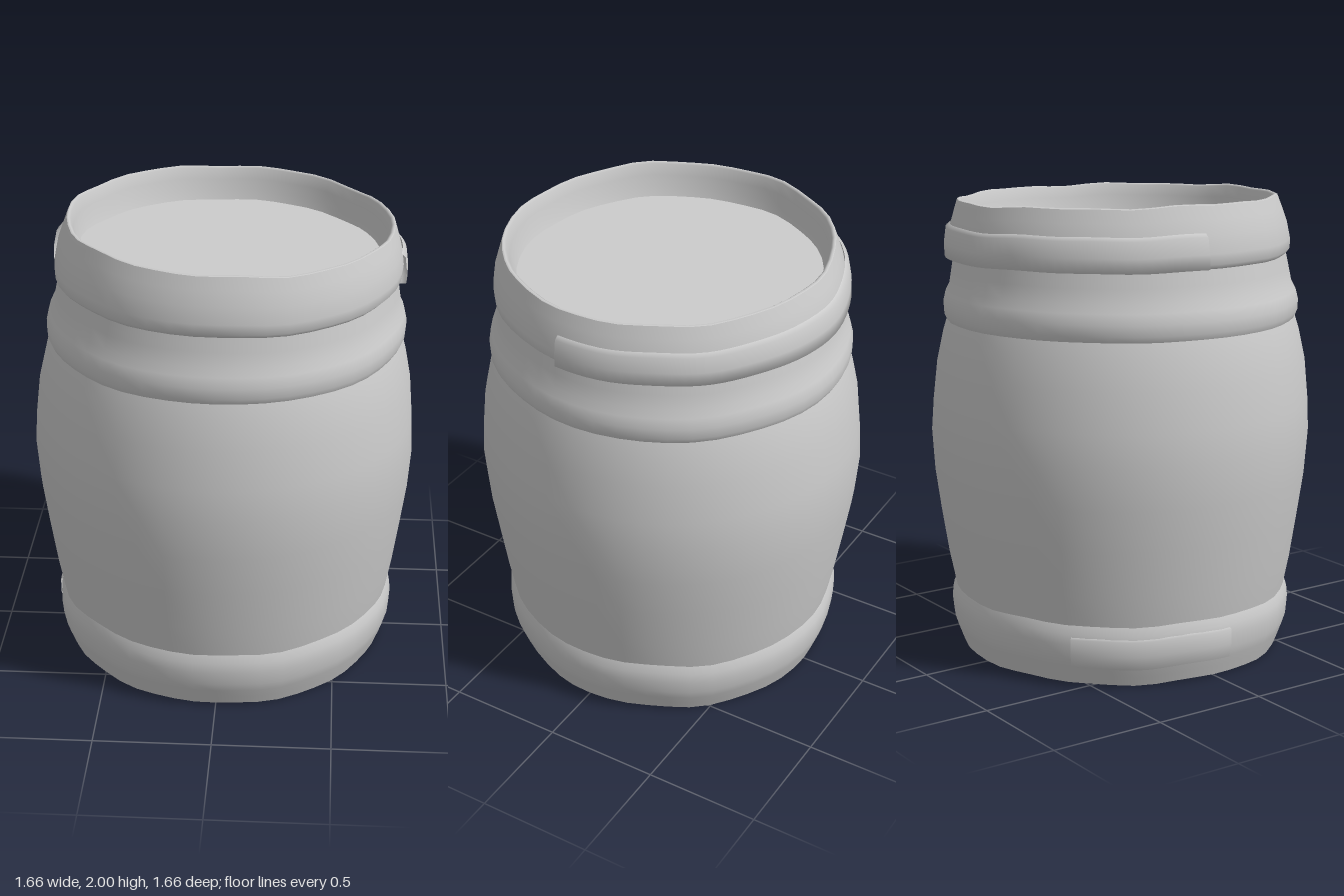
import * as THREE from 'three';

const SIDES = 48;
const material = new THREE.MeshStandardMaterial({ color: 0xcccccc, side: THREE.DoubleSide });

// Hand-worn unevenness: lean at the top, sagging rim, slightly wavy wall
function wear(geometry) {
  const p = geometry.attributes.position;
  for (let i = 0; i < p.count; i++) {
    const x = p.getX(i), y = p.getY(i), z = p.getZ(i);
    const a = Math.atan2(x, z);
    const top = Math.pow(y / 2, 6);
    const k = 1 + 0.004 * Math.sin(5 * a + 3 * y) + 0.003 * Math.sin(9 * a - 4 * y);
    const rough = 0.004 * Math.sin(7 * a + 1) + 0.003 * Math.sin(13 * a);
    p.setXYZ(i, x * k + 0.025 * top, y + top * (rough - 0.03 * x) + (y < 0.3 ? rough * 0.8 : 0), z * k);
  }
  return geometry;
}

function ring(name, profile, start = 0, length = Math.PI * 2) {
  const points = profile.map(([r, y]) => new THREE.Vector2(r, y));
  const mesh = new THREE.Mesh(wear(new THREE.LatheGeometry(points, SIDES, start, length)), material);
  mesh.name = name;
  return mesh;
}

function disc(name, radius, y, turn) {
  const g = new THREE.CircleGeometry(radius, SIDES).rotateX(turn).translate(0, y, 0);
  const mesh = new THREE.Mesh(wear(g), material);
  mesh.name = name;
  return mesh;
}

export function createModel() {
  const group = new THREE.Group();
  group.name = 'barrel';

  // Bulging staves between the hoops
  group.add(ring('body', [
    [0.735, 0.27], [0.76, 0.4], [0.79, 0.6], [0.815, 0.78], [0.828, 0.96],
    [0.82, 1.1], [0.803, 1.27], [0.775, 1.4], [0.757, 1.46],
  ]));

  // Hoops, each a soft swelling of the wall
  group.add(ring('bottomHoop', [
    [0.702, 0.008], [0.718, 0.05], [0.733, 0.09], [0.746, 0.13],
    [0.752, 0.19], [0.748, 0.235], [0.735, 0.27],
  ]));
  group.add(ring('middleHoop', [
    [0.757, 1.46], [0.769, 1.485], [0.771, 1.53], [0.76, 1.575],
    [0.742, 1.61], [0.731, 1.67], [0.72, 1.73],
  ]));
  group.add(ring('topHoop', [
    [0.72, 1.73], [0.737, 1.748], [0.739, 1.79], [0.727, 1.86], [0.708, 1.92], [0.69, 1.972],
  ]));

  // Overlapping strip wrapped round the back of the top hoop
  group.add(ring('topHoopOverlap', [
    [0.72, 1.73], [0.758, 1.732], [0.757, 1.79], [0.746, 1.855], [0.728, 1.87],
  ], Math.PI / 2 - 0.1, Math.PI));

  // Overlapping strip on the right side of the bottom hoop
  group.add(ring('bottomHoopOverlap', [
    [0.733, 0.088], [0.748, 0.092], [0.759, 0.15], [0.759, 0.215], [0.742, 0.225],
  ], Math.PI * 1.22, Math.PI * 0.3));

  // Rounded lips and the walls of the two recesses
  group.add(ring('topLip', [
    [0.69, 1.972], [0.682, 1.976], [0.672, 1.968], [0.662, 1.92], [0.652, 1.87], [0.64, 1.83],
  ]));
  group.add(ring('bottomLip', [
    [0.645, 0.13], [0.66, 0.08], [0.675, 0.03], [0.69, 0.008], [0.702, 0.008],
  ]));

  // Sunken lid and base
  group.add(disc('lid', 0.642, 1.83, -Math.PI / 2));
  group.add(disc('base', 0.647, 0.13, Math.PI / 2));

  return group;
}
